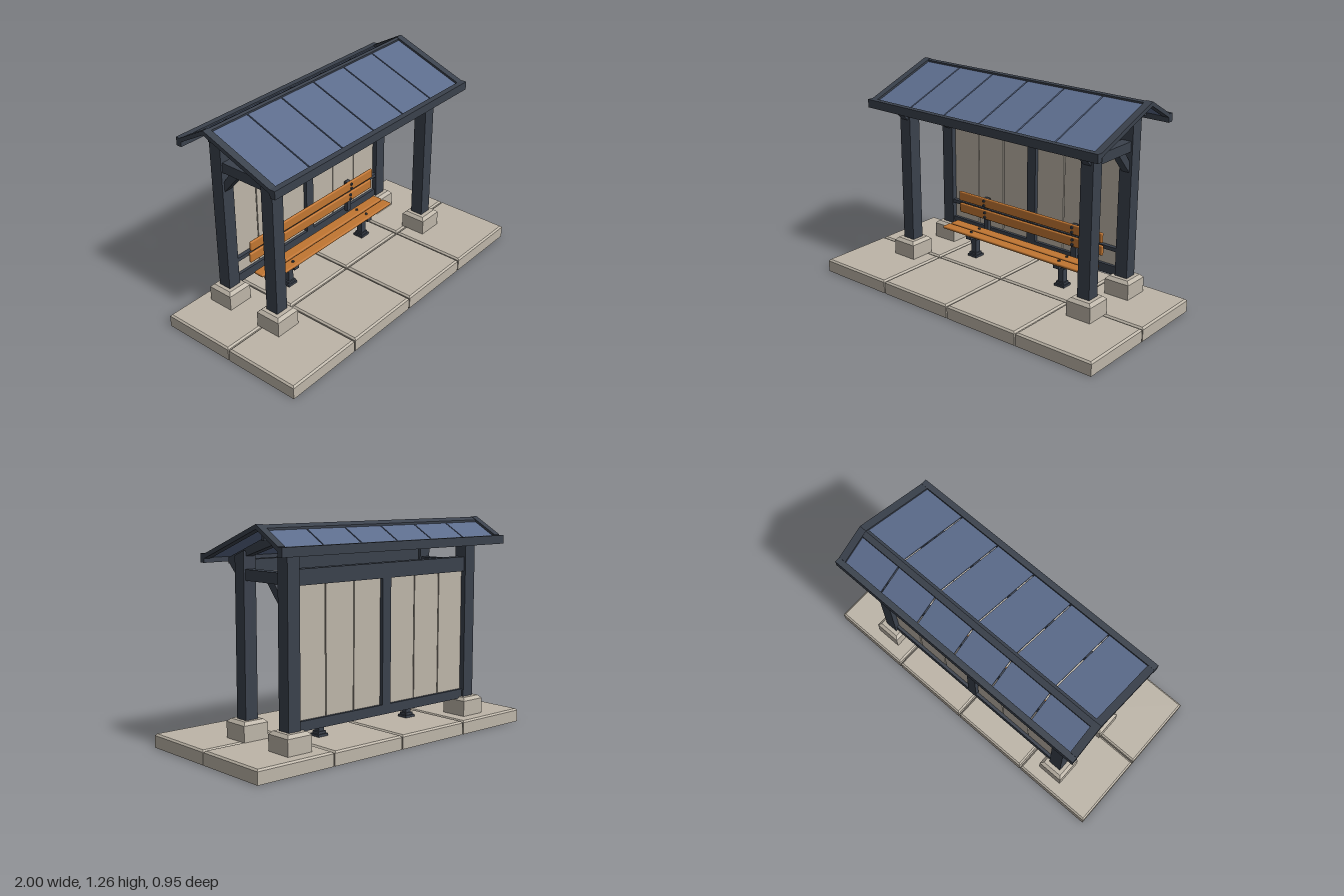
import * as THREE from 'three';
import { RoundedBoxGeometry } from 'three/addons/geometries/RoundedBoxGeometry.js';

const mat = (name, color) => {
  const m = new THREE.MeshStandardMaterial({ color });
  m.name = name;
  return m;
};

export function createModel() {
  const model = new THREE.Group();
  model.name = 'busShelter';
  const concrete = mat('concrete', 0xbdb5a8);
  const steel = mat('darkSteel', 0x3a414c);
  const wood = mat('wood', 0xc17632);
  const glass = mat('blueGlass', 0x5c6c8c);

  const add = (name, geo, material) => {
    const mesh = new THREE.Mesh(geo, material);
    mesh.name = name;
    model.add(mesh);
    return mesh;
  };

  // box given by its limits
  const box = (name, m, x0, x1, y0, y1, z0, z1) =>
    add(name, new THREE.BoxGeometry(x1 - x0, y1 - y0, z1 - z0)
      .translate((x0 + x1) / 2, (y0 + y1) / 2, (z0 + z1) / 2), m);

  // block with a chamfered top edge
  const block = (name, m, x0, x1, y0, y1, z0, z1, c) => {
    const w = x1 - x0, h = y1 - y0, d = z1 - z0;
    let g = new THREE.BoxGeometry(w, h, d, 1, 2, 1);
    const p = g.attributes.position;
    for (let i = 0; i < p.count; i++) {
      const y = p.getY(i);
      if (Math.abs(y) < 1e-6) p.setY(i, h / 2 - c);
      else if (y > 0) {
        p.setX(i, Math.sign(p.getX(i)) * (w / 2 - c));
        p.setZ(i, Math.sign(p.getZ(i)) * (d / 2 - c));
      }
    }
    g = g.toNonIndexed();
    g.computeVertexNormals();
    return add(name, g.translate((x0 + x1) / 2, (y0 + y1) / 2, (z0 + z1) / 2), m);
  };

  // side profile of [z, y] points, extruded along x
  const profile = (name, m, pts, x0, x1) => {
    const shape = new THREE.Shape(pts.map(([z, y]) => new THREE.Vector2(z, y)));
    const g = new THREE.ExtrudeGeometry(shape, { depth: x1 - x0, bevelEnabled: false });
    return add(name, g.rotateY(-Math.PI / 2).translate(x1, 0, 0), m);
  };

  // paving slabs, four by two
  for (let i = 0; i < 4; i++) {
    const x0 = -1 + i * 0.5 + (i ? 0.004 : 0), x1 = -0.5 + i * 0.5 - (i < 3 ? 0.004 : 0);
    block('pavingSlab', concrete, x0, x1, 0, 0.08, 0.001, 0.475, 0.01);
    block('pavingSlab', concrete, x0, x1, 0, 0.08, -0.475, -0.007, 0.01);
  }

  // ends: footings, posts, rafters, tie beams and braces
  for (const s of [-1, 1]) {
    const c = s * 0.67;
    block('frontFooting', concrete, c - 0.08, c + 0.08, 0.08, 0.19, -0.025, 0.137, 0.018);
    block('backFooting', concrete, c - 0.08, c + 0.08, 0.08, 0.19, -0.399, -0.236, 0.018);
    profile('frontPost', steel, [[0.013, 0.19], [0.093, 0.19], [0.093, 1.08], [0.013, 1.11]], c - 0.04, c + 0.04);
    profile('backPost', steel,
      [[-0.357, 0.19], [-0.277, 0.19], [-0.277, 1.22], [-0.357, 1.165]], c - 0.04, c + 0.04);
    profile('rafter', steel,
      [[0.17, 1.032], [0.17, 1.065], [-0.26, 1.225], [-0.29, 1.21], [-0.29, 1.17]], c - 0.025, c + 0.025);
    box('tieBeam', steel, c - 0.03, c + 0.03, 0.95, 1.01, -0.28, 0.015);
    profile('frontBrace', steel,
      [[0.165, 1.035], [0.11, 1.052], [0.09, 1.03], [0.09, 0.96]], c - 0.025, c + 0.025);
    profile('backBrace', steel,
      [[-0.17, 0.952], [-0.232, 0.952], [-0.28, 0.887], [-0.28, 0.825]], c - 0.025, c + 0.025);
  }

  // cross beams
  box('frontBeam', steel, -0.632, 0.632, 0.99, 1.06, 0.028, 0.078);
  box('ridgeBeam', steel, -0.79, 0.79, 1.175, 1.228, -0.273, -0.253);

  // back wall
  box('wallTopRail', steel, -0.632, 0.632, 0.945, 1.03, -0.345, -0.289);
  box('wallBottomRail', steel, -0.632, 0.632, 0.18, 0.235, -0.345, -0.289);
  box('wallMullion', steel, -0.031, 0.031, 0.235, 0.945, -0.345, -0.289);
  for (const s of [-1, 1]) {
    for (let i = 0; i < 3; i++) {
      const c = s * (0.132 + i * 0.2);
      box('wallPanel', concrete, c - 0.0965, c + 0.0965, 0.23, 0.95, -0.327, -0.307);
    }
  }
  box('benchRail', steel, -0.632, 0.632, 0.332, 0.355, -0.305, -0.28);

  // roof frame
  const frontTop = z => 1.258 - (z + 0.26) * 0.374;
  const backTop = z => 1.258 + (z + 0.26) * 0.57;
  const slope = (name, m, top, z0, z1, drop, t, x0, x1) =>
    profile(name, m, [[z0, top(z0) - drop], [z0, top(z0) - drop - t],
      [z1, top(z1) - drop - t], [z1, top(z1) - drop]], x0, x1);
  box('frontEave', steel, -0.833, 0.833, 1.04, 1.09, 0.2, 0.235);
  box('backEave', steel, -0.833, 0.833, 1.105, 1.155, -0.472, -0.437);
  for (const s of [-1, 1]) {
    const x0 = s * 0.811 - 0.022, x1 = s * 0.811 + 0.022;
    slope('roofEdgeFront', steel, frontTop, -0.26, 0.205, -0.003, 0.026, x0, x1);
    slope('roofEdgeBack', steel, backTop, -0.44, -0.26, -0.003, 0.026, x0, x1);
  }
  slope('ridgeCapFront', steel, frontTop, -0.26, -0.243, 0, 0.024, -0.79, 0.79);
  slope('ridgeCapBack', steel, backTop, -0.29, -0.26, 0, 0.024, -0.79, 0.79);

  // roof panes, six on each slope
  for (let i = 0; i < 6; i++) {
    const x0 = -0.79 + i * 0.2633 + (i ? 0.004 : 0), x1 = -0.79 + (i + 1) * 0.2633 - (i < 5 ? 0.004 : 0);
    slope('roofPaneFront', glass, frontTop, -0.245, 0.202, 0.01, 0.009, x0, x1);
    slope('roofPaneBack', glass, backTop, -0.44, -0.285, 0.012, 0.009, x0, x1);
  }

  // bench slats
  const slat = (name, y, z, h, d) =>
    add(name, new RoundedBoxGeometry(1.104, h, d, 2, 0.007).translate(0, y, z), wood);
  slat('seatSlat', 0.237, -0.126, 0.018, 0.066);
  slat('seatSlat', 0.237, -0.202, 0.018, 0.066);
  slat('backrestSlat', 0.406, -0.256, 0.062, 0.018);
  slat('backrestSlat', 0.325, -0.263, 0.062, 0.018);

  // bench supports and bolts
  for (const s of [-1, 1]) {
    const c = s * 0.34;
    const part = (name, w, y0, y1, z0, z1) => box(name, steel, c - w / 2, c + w / 2, y0, y1, z0, z1);
    part('benchFoot', 0.07, 0.08, 0.094, -0.198, -0.13);
    part('benchFootStep', 0.055, 0.094, 0.108, -0.19, -0.138);
    part('benchLeg', 0.038, 0.108, 0.192, -0.183, -0.145);
    part('benchLegFlange', 0.055, 0.192, 0.208, -0.189, -0.139);
    part('seatBracket', 0.04, 0.208, 0.229, -0.243, -0.097);
    part('backrestBracket', 0.035, 0.22, 0.432, -0.29, -0.265);
    for (const z of [-0.126, -0.202])
      add('seatBolt', new THREE.CylinderGeometry(0.008, 0.008, 0.012, 12).translate(c, 0.248, z), steel);
    for (const [y, z] of [[0.42, -0.246], [0.39, -0.246], [0.34, -0.253], [0.31, -0.253]])
      add('backrestBolt', new THREE.CylinderGeometry(0.009, 0.009, 0.014, 12)
        .rotateX(Math.PI / 2).translate(c, y, z), steel);
  }
  return model;
}
